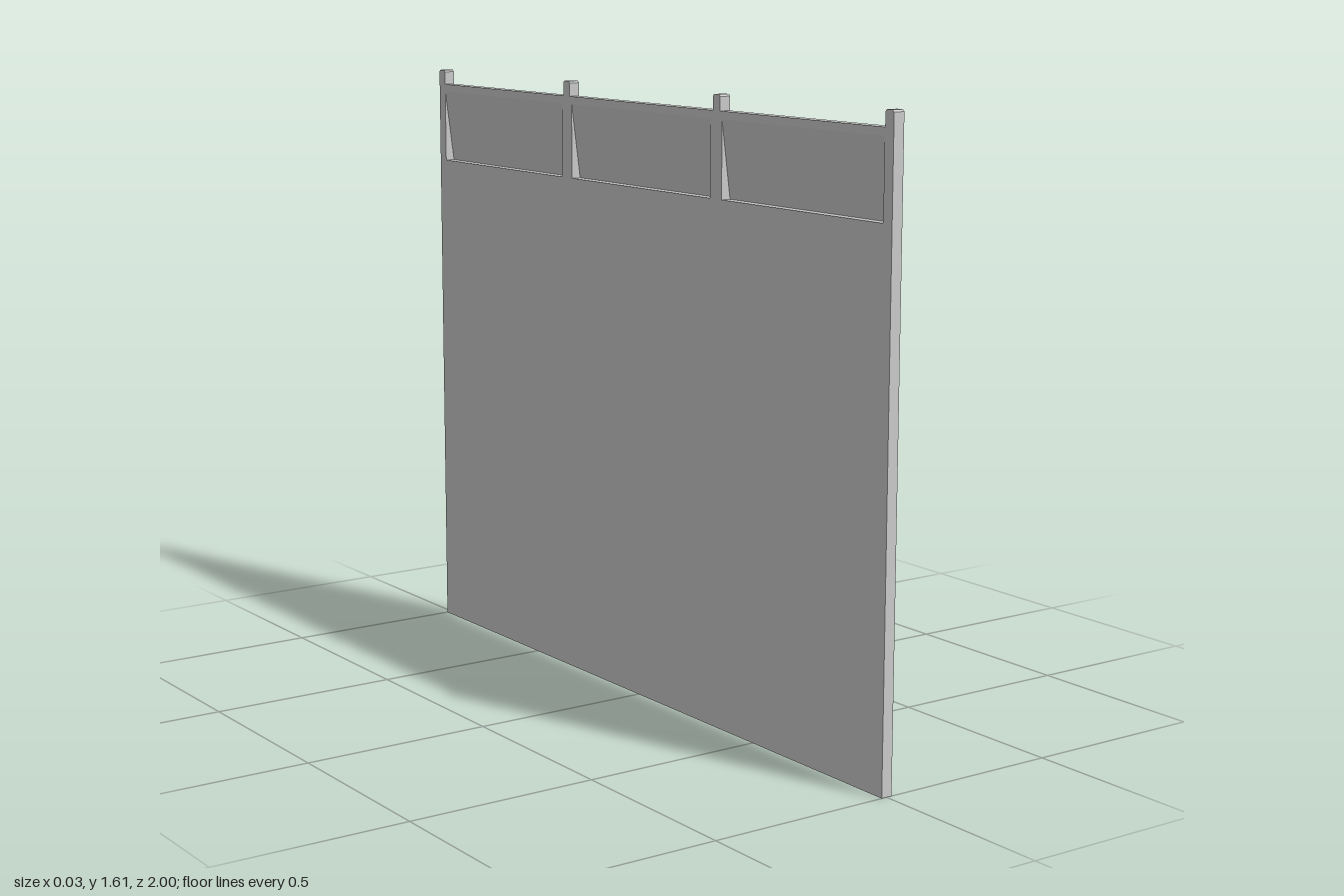
import * as THREE from 'three';

const HALF = 0.015;   // half of the overall depth (x)
const SHEET = 0.003;  // sheet thickness
const WIN_BOTTOM = 1.35, WIN_TOP = 1.55, RAIL_TOP = 1.57, TOP = 1.61;

export function createModel() {
  const group = new THREE.Group();
  const material = new THREE.MeshStandardMaterial({
    color: 0xcccccc, flatShading: true, side: THREE.DoubleSide,
  });

  const add = (name, geometry, x = 0, y = 0, z = 0) => {
    const mesh = new THREE.Mesh(geometry, material);
    mesh.name = name;
    mesh.position.set(x, y, z);
    group.add(mesh);
    return mesh;
  };
  const box = (name, w, h, d, x, y, z) => add(name, new THREE.BoxGeometry(w, h, d), x, y, z);
  const polygon = (points) => new THREE.Shape(points.map(([a, b]) => new THREE.Vector2(a, b)));
  const extrude = (shape, depth) => new THREE.ExtrudeGeometry(shape, { depth, bevelEnabled: false });

  // z ranges of the three openings
  const windows = [[-0.972, -0.355], [-0.313, 0.313], [0.355, 0.972]];

  // Main sheet, flush with the -x side, with three openings along the top
  const sheet = polygon([[-1, 0], [1, 0], [1, RAIL_TOP], [-1, RAIL_TOP]]);
  for (const [a, b] of windows) {
    sheet.holes.push(polygon([[a, WIN_BOTTOM], [a, WIN_TOP], [b, WIN_TOP], [b, WIN_BOTTOM]]));
  }
  const sheetGeometry = extrude(sheet, SHEET);
  sheetGeometry.rotateY(Math.PI / 2);
  add('mainPanel', sheetGeometry, -HALF);

  // Tilted panes: shelf at the bottom, leaning back to the sheet at the top
  const out = HALF - 0.001;
  const paneProfile = polygon([
    [-HALF, WIN_BOTTOM], [out, WIN_BOTTOM], [-HALF + SHEET, WIN_TOP], [-HALF, WIN_TOP],
    [out - SHEET, WIN_BOTTOM + SHEET], [-HALF, WIN_BOTTOM + SHEET],
  ]);
  const cheekProfile = polygon([[-HALF, WIN_BOTTOM], [out, WIN_BOTTOM], [-HALF + SHEET, WIN_TOP], [-HALF, WIN_TOP]]);
  for (const [a, b] of windows) {
    add('tiltedPane', extrude(paneProfile, b - a), 0, 0, a);
    add('paneCheek', extrude(cheekProfile, SHEET), 0, 0, a);
    add('paneCheek', extrude(cheekProfile, SHEET), 0, 0, b - SHEET);
  }

  // Top rail across the full width
  box('topRail', 2 * HALF, RAIL_TOP - WIN_TOP, 2, 0, (RAIL_TOP + WIN_TOP) / 2, 0);

  // Folded flanges down both ends
  for (const s of [-1, 1]) {
    box('endFlange', 2 * HALF, RAIL_TOP, SHEET, 0, RAIL_TOP / 2, s * (1 - SHEET / 2));
  }

  // Short posts with chamfered tops standing on the rail
  const w = 0.015, c = 0.005;
  const capProfile = polygon([[-w, WIN_TOP], [w, WIN_TOP], [w, TOP - c], [w - c, TOP], [-w + c, TOP], [-w, TOP - c]]);
  for (const z of [-1 + w, -0.335, 0.335, 1 - w]) {
    const cap = extrude(capProfile, 2 * HALF);
    cap.rotateY(Math.PI / 2);
    add('postCap', cap, -HALF, 0, z);
  }

  return group;
}
